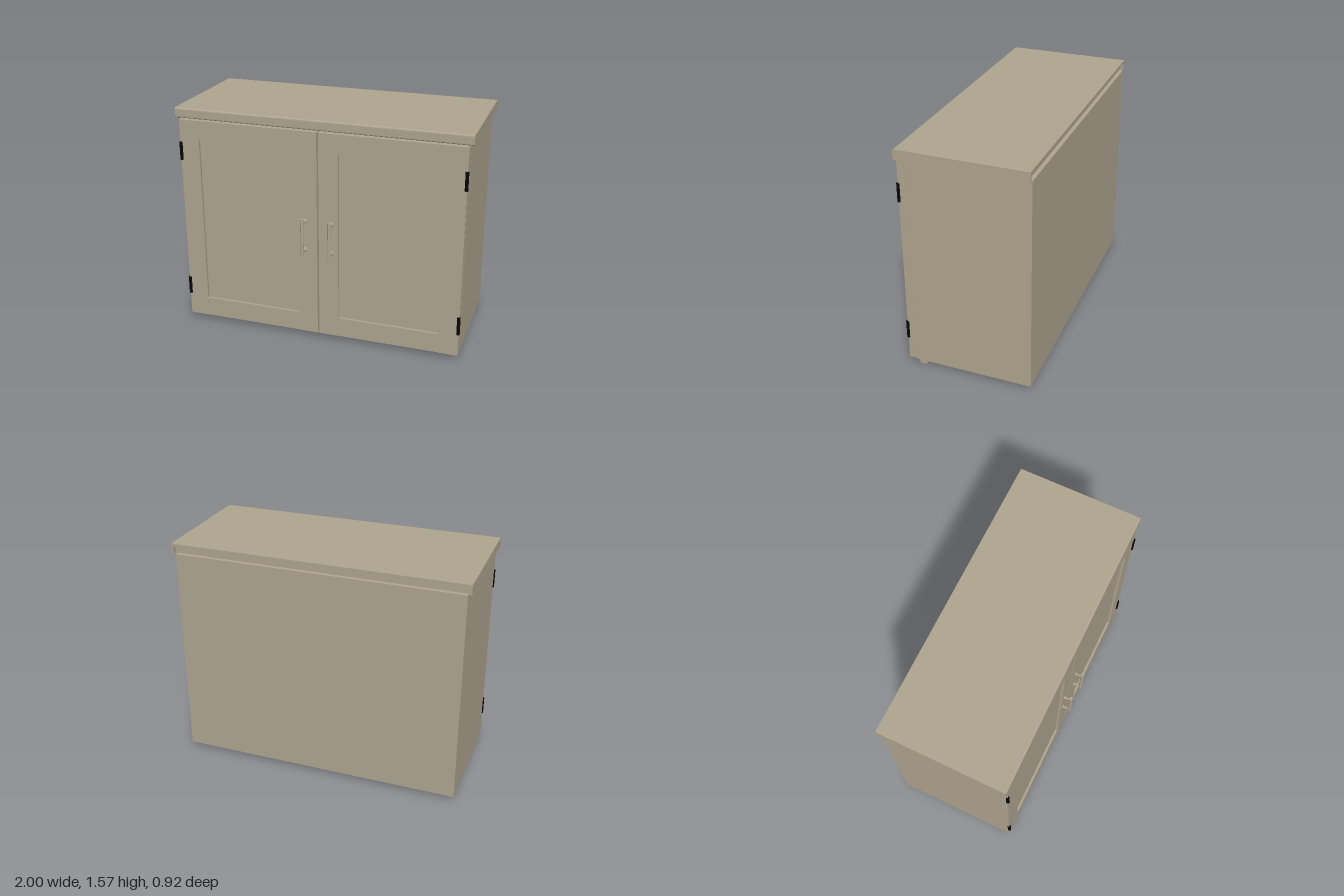
import * as THREE from 'three';

export function createModel() {
  const paint = new THREE.MeshStandardMaterial({ color: 0xb0a690 });
  paint.name = 'taupe paint';
  const black = new THREE.MeshStandardMaterial({ color: 0x060606 });
  black.name = 'black metal';

  const root = new THREE.Group();
  root.name = 'cabinet';

  function add(parent, name, geometry, material = paint) {
    const mesh = new THREE.Mesh(geometry, material);
    mesh.name = name;
    parent.add(mesh);
    return mesh;
  }
  // Box given by its lower and upper limits on each axis
  function box(parent, name, x0, x1, y0, y1, z0, z1) {
    const g = new THREE.BoxGeometry(x1 - x0, y1 - y0, z1 - z0);
    g.translate((x0 + x1) / 2, (y0 + y1) / 2, (z0 + z1) / 2);
    return add(parent, name, g);
  }
  // Side profile of the worktop, softened at the front; notch cuts the lower back edge
  function topProfile(notch) {
    const y0 = 1.497, y1 = 1.565, back = -0.455, front = 0.405, r = 0.012;
    const s = new THREE.Shape();
    s.moveTo(back + notch, y0);
    s.lineTo(front - r, y0);
    s.quadraticCurveTo(front, y0, front, y0 + r);
    s.lineTo(front, y1 - r);
    s.quadraticCurveTo(front, y1, front - r, y1);
    s.lineTo(back, y1);
    if (notch) {
      s.lineTo(back, y1 - 0.02);
      s.lineTo(back + notch, y1 - 0.02);
    } else s.lineTo(back, y0);
    s.closePath();
    return s;
  }
  function slab(name, notch, x0, x1) {
    const g = new THREE.ExtrudeGeometry(topProfile(notch),
      { depth: x1 - x0, bevelEnabled: false, curveSegments: 5 });
    g.rotateY(-Math.PI / 2);
    g.translate(x1, 0, 0);
    return add(root, name, g);
  }

  // Worktop with closed ends and a recess along its back
  slab('worktop', 0.025, -0.985, 0.985);
  slab('worktopEndRight', 0, -1, -0.985);
  slab('worktopEndLeft', 0, 0.985, 1);

  // Carcass and the strip it stands on at the front
  const body = new THREE.Group();
  body.name = 'cabinetBody';
  body.position.x = -0.003;
  root.add(body);
  box(body, 'carcass', -0.973, 0.973, 0.035, 1.495, -0.455, 0.35);
  box(body, 'baseStrip', -0.962, 0.962, 0, 0.035, 0.28, 0.33);

  // Two mirrored doors with frame, sunk panel, handle and hinges
  for (const side of [-1, 1]) {
    const door = new THREE.Group();
    door.name = side > 0 ? 'leftDoor' : 'rightDoor';
    body.add(door);
    const part = (name, a, b, y0, y1, z0, z1) =>
      box(door, name, Math.min(side * a, side * b), Math.max(side * a, side * b), y0, y1, z0, z1);

    part('innerStile', 0.006, 0.14, 0.04, 1.485, 0.351, 0.4);
    part('outerStile', 0.835, 0.972, 0.04, 1.485, 0.351, 0.4);
    part('bottomRail', 0.14, 0.835, 0.04, 0.178, 0.351, 0.398);
    part('topRail', 0.14, 0.835, 1.35, 1.485, 0.351, 0.398);
    part('panel', 0.14, 0.835, 0.178, 1.35, 0.355, 0.382);

    // Bar handle on two posts
    const handle = new THREE.Group();
    handle.name = 'handle';
    handle.position.x = side * 0.094;
    door.add(handle);
    add(handle, 'handleBar', new THREE.CylinderGeometry(0.011, 0.011, 0.266, 16))
      .position.set(0, 0.765, 0.449);
    for (const y of [0.66, 0.866]) {
      const post = add(handle, 'handlePost', new THREE.CylinderGeometry(0.008, 0.008, 0.05, 12));
      post.rotation.x = Math.PI / 2;
      post.position.set(0, y, 0.422);
      const foot = add(handle, 'handleFoot', new THREE.CylinderGeometry(0.013, 0.018, 0.008, 16));
      foot.rotation.x = Math.PI / 2;
      foot.position.set(0, y, 0.403);
    }

    // Hinge barrels on the outer edge
    for (const y of [0.262, 1.267]) {
      add(door, 'hinge', new THREE.CylinderGeometry(0.0115, 0.0115, 0.126, 16), black)
        .position.set(side * 0.968, y, 0.399);
    }
  }
  return root;
}
